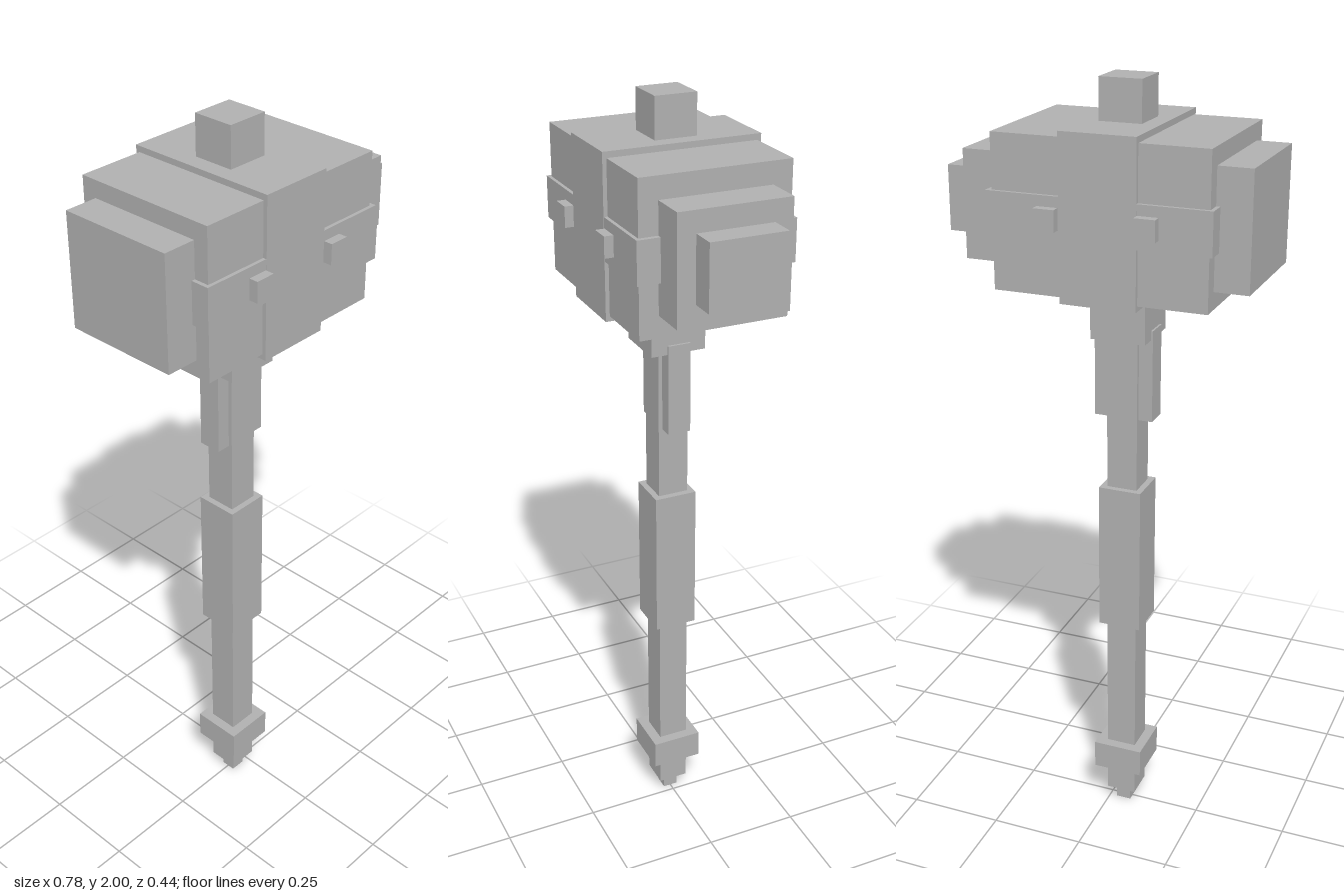
import * as THREE from 'three';

export function createModel() {
  const model = new THREE.Group();
  model.name = 'warHammer';
  const stone = new THREE.MeshStandardMaterial({ color: 0xb0b0b0 });
  stone.name = 'plain grey';

  // Box from its x and y extents, half depth and depth centre
  function block(name, x0, x1, y0, y1, halfZ, z = 0) {
    const mesh = new THREE.Mesh(new THREE.BoxGeometry(x1 - x0, y1 - y0, halfZ * 2), stone);
    mesh.name = name;
    mesh.position.set((x0 + x1) / 2, (y0 + y1) / 2, z);
    model.add(mesh);
  }

  // Handle, from pommel to collar
  block('pommelTip', -0.06, -0.02, 0, 0.042, 0.02);
  block('handle', -0.08, 0, 0.042, 1.4, 0.04);
  block('pommelRing', -0.106, 0.027, 0.124, 0.2, 0.067);
  block('grip', -0.096, 0.017, 0.578, 0.975, 0.056);
  block('collar', -0.111, 0.031, 1.378, 1.505, 0.072);

  // Straps on both sides of the handle
  block('rightStrap', -0.116, -0.078, 1.165, 1.402, 0.03);
  block('leftStrap', -0.002, 0.037, 1.165, 1.402, 0.03);

  // Hammer head
  block('headBody', -0.305, 0.227, 1.513, 1.885, 0.188);
  block('headBand', -0.135, 0.055, 1.5, 1.9, 0.198);
  block('headBelt', -0.315, 0.239, 1.647, 1.752, 0.197);
  block('topStud', -0.092, 0.015, 1.895, 2, 0.053);

  // Striking faces
  block('rightFace', -0.39, -0.3, 1.556, 1.842, 0.15);
  block('leftFaceStep', 0.22, 0.323, 1.567, 1.831, 0.14);
  block('leftFaceTip', 0.32, 0.388, 1.619, 1.779, 0.095);

  // Rivets on front and back
  for (const z of [-0.205, 0.205]) {
    block('rightRivet', -0.188, -0.136, 1.674, 1.726, 0.015, z);
    block('leftRivet', 0.057, 0.109, 1.674, 1.726, 0.015, z);
  }

  return model;
}
